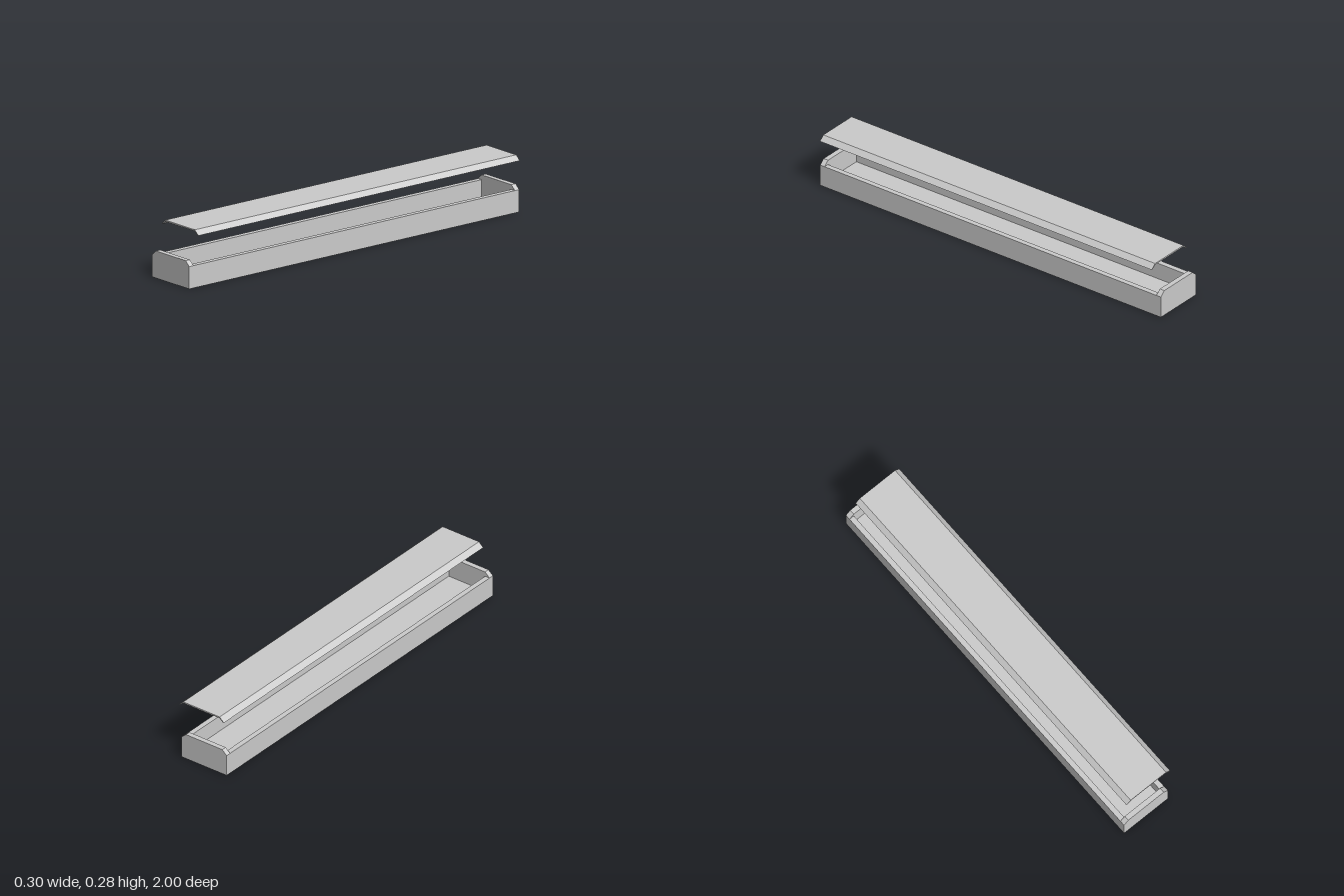
import * as THREE from 'three';

const LENGTH = 2, WALL = 0.026, RIM = 0.108, TOP = 0.131, FLOOR = 0.026;
const LEFT = 0.115, RIGHT = -0.151, CENTRE = (LEFT + RIGHT) / 2;

const material = new THREE.MeshStandardMaterial({ color: 0xcccccc, flatShading: true });

function add(group, name, geometry, x, y, z) {
  const mesh = new THREE.Mesh(geometry, material);
  mesh.name = name;
  mesh.position.set(x, y, z);
  group.add(mesh);
}

// Extrude an x/y profile along z, centred on z = 0
function extrude(points, depth) {
  const shape = new THREE.Shape(points.map(([x, y]) => new THREE.Vector2(x, y)));
  return new THREE.ExtrudeGeometry(shape, { depth, bevelEnabled: false }).translate(0, 0, -depth / 2);
}

export function createModel() {
  const model = new THREE.Group();
  model.name = 'longBoxWithLid';
  const inner = LENGTH - 2 * WALL;
  const half = (LEFT - RIGHT) / 2;

  // Open tray: floor and long side walls
  const tray = new THREE.Group();
  tray.name = 'tray';
  tray.position.x = CENTRE;
  model.add(tray);
  add(tray, 'floor', new THREE.BoxGeometry(2 * (half - WALL), FLOOR, inner), 0, FLOOR / 2, 0);
  for (const [side, name] of [[1, 'leftWall'], [-1, 'rightWall']]) {
    add(tray, name, new THREE.BoxGeometry(WALL, RIM, inner), side * (half - WALL / 2), RIM / 2, 0);
  }

  // End boards rise above the walls, with clipped upper corners
  const clip = half - 0.026;
  const board = extrude([[-half, 0], [half, 0], [half, RIM], [clip, TOP], [-clip, TOP], [-half, RIM]], WALL);
  for (const [end, name] of [[1, 'frontEndBoard'], [-1, 'backEndBoard']]) {
    add(tray, name, board, 0, 0, end * (LENGTH - WALL) / 2);
  }

  // Thin lid with sloping edges, raised and shifted to the side
  const lid = extrude([
    [-0.132, 0], [-0.126, 0], [-0.106, 0.016], [0.106, 0.016], [0.126, 0], [0.132, 0],
    [0.107, 0.023], [-0.107, 0.023],
  ], inner);
  add(model, 'lid', lid, 0.018, 0.26, 0);
  return model;
}
